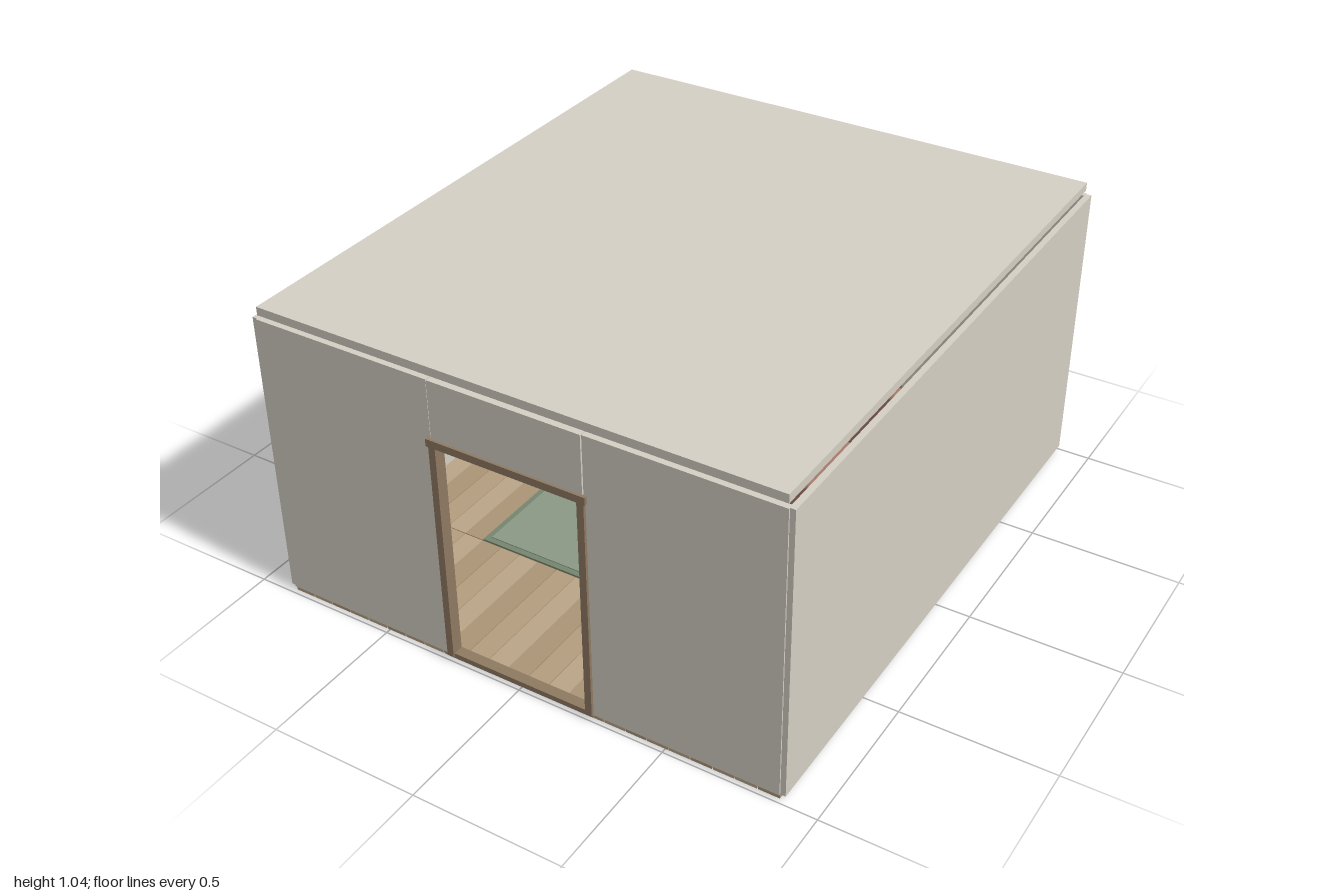
import * as THREE from 'three';
import { RoundedBoxGeometry } from 'three/addons/geometries/RoundedBoxGeometry.js';

const mat = (color) => new THREE.MeshStandardMaterial({ color });
const wallMat = mat(0xd6d0c4);
const woodMat = mat(0x8f7a62);
const darkWoodMat = mat(0x75624e);
const plankMats = [0xb59e7f, 0xac9576, 0xbba587].map(mat);
const rugMat = mat(0x8b9a86);
const rugEdgeMat = mat(0x76866f);
const fabricMat = mat(0xa67c6c);
const labelMat = mat(0xd9d2c0);
const bookMats = [0x9a9a80, 0x8a8f9c, 0xb0a88f, 0x9c7466, 0x74877f, 0x8b7a6a].map(mat);

function add(parent, name, geometry, material, x = 0, y = 0, z = 0) {
  const mesh = new THREE.Mesh(geometry, material);
  mesh.name = name;
  mesh.position.set(x, y, z);
  parent.add(mesh);
  return mesh;
}

// Box given by its lower and upper corners
function box(parent, name, material, [x0, y0, z0], [x1, y1, z1]) {
  const geometry = new THREE.BoxGeometry(x1 - x0, y1 - y0, z1 - z0);
  return add(parent, name, geometry, material, (x0 + x1) / 2, (y0 + y1) / 2, (z0 + z1) / 2);
}

function group(parent, name) {
  const g = new THREE.Group();
  g.name = name;
  parent.add(g);
  return g;
}

function seeded(seed) {
  return () => (seed = (seed * 16807) % 2147483647) / 2147483647;
}

function buildFloor(room) {
  const floor = group(room, 'floor');
  const columns = 24, rows = 4, gap = 0.0015;
  const w = 1.75 / columns, d = 1.98 / rows;
  for (let i = 0; i < columns; i++) {
    for (let j = 0; j < rows; j++) {
      const x = -0.875 + i * w, z = -0.995 + j * d;
      box(floor, 'floorPlank', plankMats[(i * 2 + j) % 3],
        [x + gap, 0, z + gap], [x + w - gap, 0.016, z + d - gap]);
    }
  }
  box(room, 'rugBorder', rugEdgeMat, [-0.51, 0.016, -0.49], [0.51, 0.022, 0.49]);
  box(room, 'rug', rugMat, [-0.49, 0.02, -0.47], [0.49, 0.025, 0.47]);
}

function buildShell(room) {
  const shell = group(room, 'shell');
  for (const s of [-1, 1]) {
    const a = s * 0.872, b = s * 0.892;
    box(shell, 'sideWall', wallMat, [Math.min(a, b), 0.018, -0.995], [Math.max(a, b), 1, 0.985]);
  }
  box(shell, 'backWall', wallMat, [-0.875, 0.018, -1], [0.875, 1, -0.98]);
  box(shell, 'frontWallRight', wallMat, [-0.875, 0.018, 0.97], [-0.26, 1, 0.99]);
  box(shell, 'frontWallLeft', wallMat, [0.255, 0.018, 0.97], [0.875, 1, 0.99]);
  box(shell, 'lintel', wallMat, [-0.257, 0.8, 0.97], [0.252, 1, 0.992]);
  box(shell, 'roof', wallMat, [-0.872, 1.012, -0.995], [0.872, 1.04, 0.985]);

  // Door frame
  const frame = group(room, 'doorFrame');
  box(frame, 'doorPost', woodMat, [-0.263, 0.018, 0.96], [-0.24, 0.8, 1]);
  box(frame, 'doorPost', woodMat, [0.237, 0.018, 0.96], [0.26, 0.8, 1]);
  box(frame, 'doorHead', woodMat, [-0.272, 0.78, 0.96], [0.265, 0.805, 1]);
  box(frame, 'threshold', woodMat, [-0.26, 0.012, 0.96], [0.26, 0.03, 0.995]);
}

function buildBookcase(room) {
  const bookcase = group(room, 'bookcase');
  const random = seeded(7);
  box(bookcase, 'caseBack', woodMat, [-0.27, 0.016, -0.98], [0.27, 0.735, -0.965]);
  for (const x of [-0.285, 0.265]) {
    box(bookcase, 'caseSide', darkWoodMat, [x, 0.016, -0.98], [x + 0.02, 0.735, -0.83]);
  }
  box(bookcase, 'plinth', darkWoodMat, [-0.265, 0.016, -0.97], [0.265, 0.055, -0.84]);
  for (let row = 0; row < 5; row++) {
    const y = 0.07 + row * 0.141;
    box(bookcase, 'shelf', darkWoodMat, [-0.265, y - 0.012, -0.97], [0.265, y, -0.83]);
    // Books with a pale band on the spine
    for (let i = 0; i < 9; i++) {
      const x = -0.215 + i * 0.0465, w = 0.022 + random() * 0.011, h = 0.065 + random() * 0.045;
      const cover = bookMats[Math.floor(random() * bookMats.length)];
      box(bookcase, 'book', cover, [x - w / 2, y, -0.95], [x + w / 2, y + h, -0.86]);
      box(bookcase, 'bookBand', labelMat,
        [x - w / 2 - 0.001, y + h * 0.68, -0.94], [x + w / 2 + 0.001, y + h * 0.8, -0.858]);
    }
  }
}

function buildTable(room) {
  const table = group(room, 'roundTable');
  table.position.set(-0.18, 0.022, -0.3);
  add(table, 'tableTop', new THREE.CylinderGeometry(0.2, 0.2, 0.022, 32), woodMat, 0, 0.175);
  add(table, 'tablePillar', new THREE.CylinderGeometry(0.023, 0.023, 0.145, 20), woodMat, 0, 0.095);
  add(table, 'tableBase', new THREE.CylinderGeometry(0.1, 0.11, 0.022, 32), darkWoodMat, 0, 0.014);
}

function buildArmchair(room) {
  const chair = group(room, 'armchair');
  chair.position.set(0.4, 0.022, -0.25);
  const pad = (name, w, h, d, x, y, z) =>
    add(chair, name, new RoundedBoxGeometry(w, h, d, 3, 0.02), fabricMat, x, y, z);
  pad('seat', 0.34, 0.12, 0.32, 0, 0.13, 0);
  pad('backrest', 0.38, 0.35, 0.07, 0, 0.25, -0.16);
  for (const s of [-1, 1]) {
    pad('armrest', 0.06, 0.1, 0.32, s * 0.18, 0.235, 0);
    pad('chairSide', 0.04, 0.14, 0.3, s * 0.17, 0.135, 0);
    for (const z of [-0.13, 0.13]) {
      add(chair, 'chairLeg', new THREE.CylinderGeometry(0.014, 0.01, 0.075, 12), darkWoodMat, s * 0.15, 0.037, z);
    }
  }
}

export function createModel() {
  const room = new THREE.Group();
  room.name = 'libraryRoom';
  buildFloor(room);
  buildShell(room);
  buildBookcase(room);
  buildTable(room);
  buildArmchair(room);
  return room;
}
